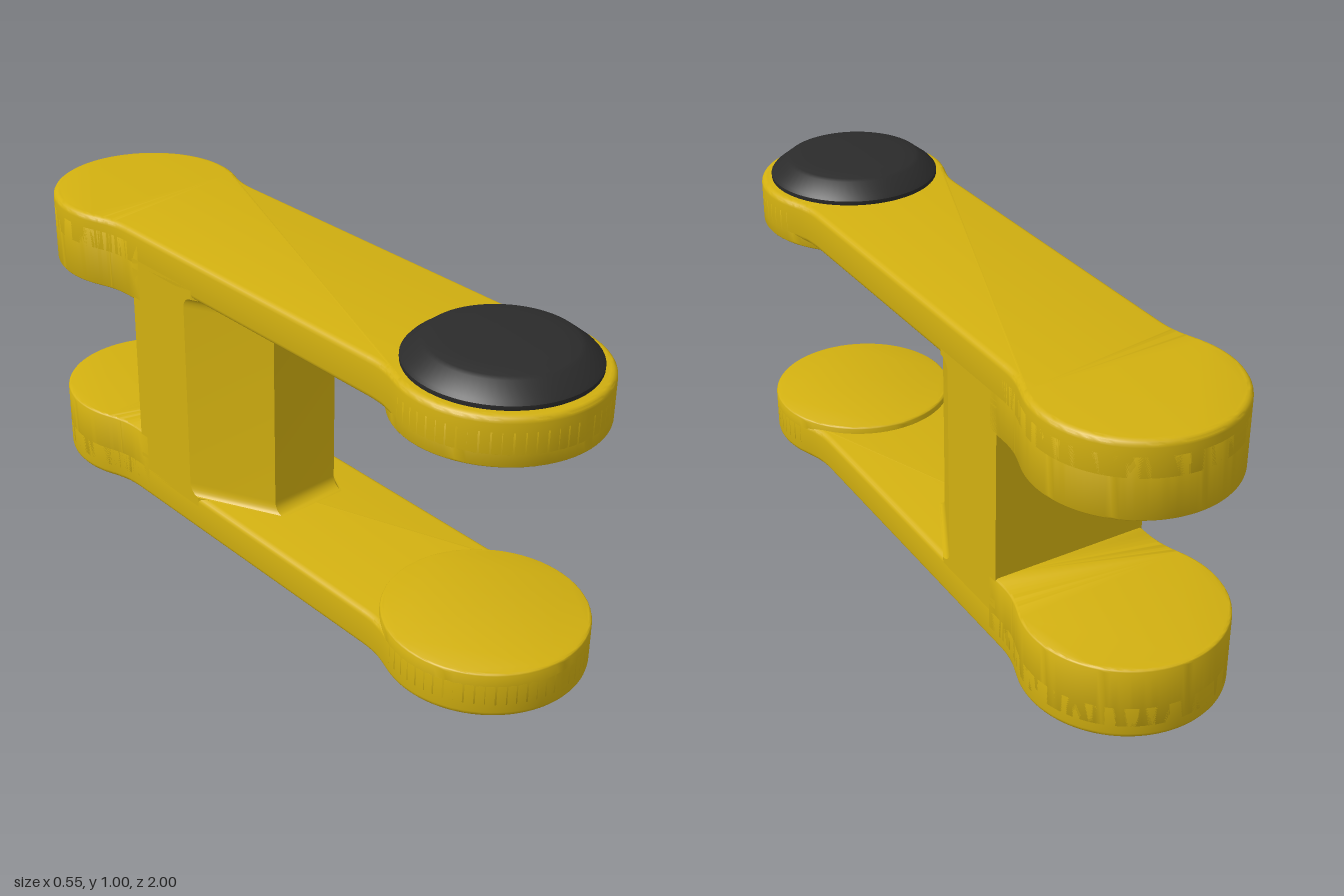
import * as THREE from 'three';
import { toCreasedNormals } from 'three/addons/utils/BufferGeometryUtils.js';

const yellow = new THREE.MeshStandardMaterial({ color: 0xd2b010 });
const black = new THREE.MeshStandardMaterial({ color: 0x2b2b2b });

const HALF = 0.232;   // half width of the straight part
const R = 0.275;      // radius of the round ends
const END = 0.725;    // z of the end centres
const MID = 0.5;      // height of the mirror plane

function part(name, geometry, material) {
  const mesh = new THREE.Mesh(geometry, material);
  mesh.name = name;
  return mesh;
}

// Horizontal plate from a plan shape (shape x, y = model x, z)
function plate(shape, y0, y1, bevel) {
  const g = new THREE.ExtrudeGeometry(shape, {
    depth: y1 - y0 - 2 * bevel, curveSegments: 32, bevelEnabled: true,
    bevelThickness: bevel, bevelSize: bevel, bevelOffset: -bevel, bevelSegments: 4,
  });
  g.rotateX(Math.PI / 2).translate(0, y1 - bevel, 0);
  return toCreasedNormals(g, 0.6);
}

// Flared round end: from (side * HALF) around the circle and back; dir is +1 front, -1 back
function addEnd(shape, dir) {
  const a = 0.35, c = Math.cos(a) * R, s = END - Math.sin(a) * R;
  const cx = c - Math.sin(a) * 0.05, cz = s - Math.cos(a) * 0.05;
  shape.bezierCurveTo(dir * HALF, dir * 0.56, dir * cx, dir * cz, dir * c, dir * s);
  const start = dir > 0 ? -a : Math.PI - a;
  shape.absarc(0, dir * END, R, start, start + Math.PI + 2 * a, false);
  shape.bezierCurveTo(-dir * cx, dir * cz, -dir * HALF, dir * 0.56, -dir * HALF, dir * 0.5);
}

function armShape() {
  const s = new THREE.Shape();
  s.moveTo(HALF, -0.5);
  s.lineTo(HALF, 0.5);
  addEnd(s, 1);
  s.lineTo(-HALF, -0.5);
  addEnd(s, -1);
  return s;
}

function forkShape() {
  const s = new THREE.Shape();
  s.moveTo(HALF, -0.45);
  s.lineTo(-HALF, -0.45);
  s.lineTo(-HALF, -0.5);
  addEnd(s, -1);
  return s;
}

// Central column: chamfered plan lofted upward, flaring into the arms at the front
function columnGeometry() {
  const r = 0.035, inner = 0.318, levels = [[inner + 0.03, r]];
  for (let i = 0; i <= 6; i++) {
    const t = (i / 6) * Math.PI / 2;
    levels.push([inner - r * (1 - Math.cos(t)), r * (1 - Math.sin(t))]);
  }
  const all = [...levels.map(([y, d]) => [-y, d]), ...levels.reverse()];
  const pos = [], idx = [];
  for (const [y, d] of all) {
    const plan = [[-HALF, -0.48], [-HALF, -0.24 + d], [-0.11, d],
      [0.11, d], [HALF, -0.24 + d], [HALF, -0.48]];
    for (const [x, z] of plan) pos.push(x, MID + y, z);
  }
  for (let k = 0; k < all.length - 1; k++) {
    for (let i = 0; i < 6; i++) {
      const a = k * 6 + i, b = k * 6 + (i + 1) % 6;
      idx.push(a, b, b + 6, a, b + 6, a + 6);
    }
  }
  const g = new THREE.BufferGeometry();
  g.setAttribute('position', new THREE.Float32BufferAttribute(pos, 3));
  g.setIndex(idx);
  return toCreasedNormals(g, 0.4);
}

// Domed cap with a bevelled rim
function capGeometry() {
  const profile = [[0.235, 0.41], [0.245, 0.434], [0.245, 0.444], [0.238, 0.452],
    [0.197, 0.484], [0.185, 0.489], [0.14, 0.493], [0.07, 0.497], [0, 0.498]];
  const g = new THREE.LatheGeometry(profile.map(([x, y]) => new THREE.Vector2(x, y)), 64);
  g.translate(0, 0, END);
  return toCreasedNormals(g, 0.45);
}

// Upper half, measured from the mirror plane
function createHalf(name) {
  const half = new THREE.Group();
  half.name = name;
  const disc = new THREE.Shape().absarc(0, END, R, 0, Math.PI * 2, false);
  half.add(
    part('arm', plate(armShape(), 0.318, 0.432, 0.017), yellow),
    part('frontPad', plate(disc, 0.297, 0.4, 0.009), yellow),
    part('rearForkPad', plate(forkShape(), 0.217, 0.4, 0.009), yellow),
    part('pivotCap', capGeometry(), black),
  );
  half.position.y = MID;
  return half;
}

export function createModel() {
  const model = new THREE.Group();
  model.name = 'linkBracket';
  const upper = createHalf('upperHalf');
  const lower = upper.clone();
  lower.name = 'lowerHalf';
  lower.rotation.z = Math.PI;
  model.add(upper, lower, part('column', columnGeometry(), yellow));
  return model;
}
